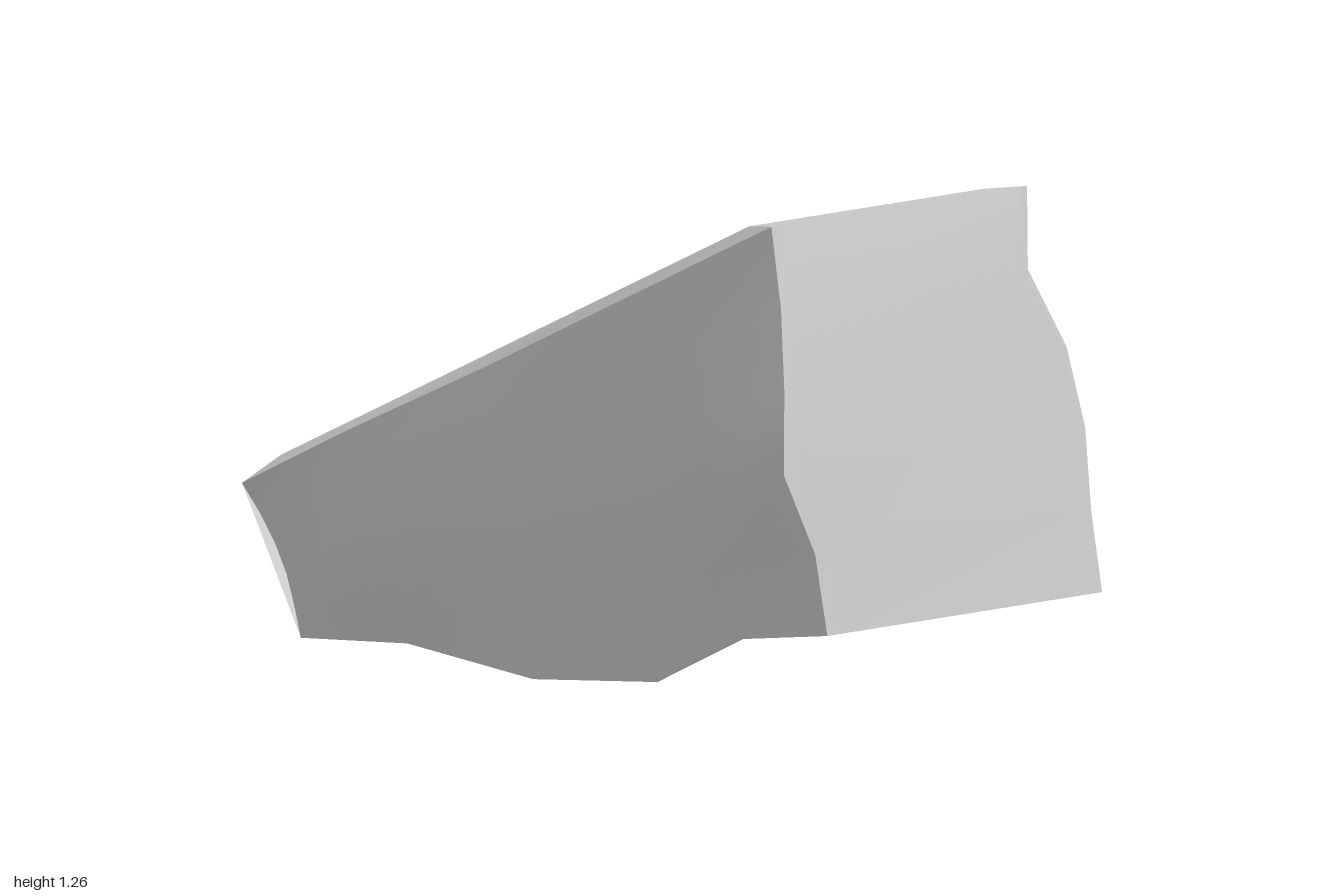
import * as THREE from 'three';

const material = new THREE.MeshStandardMaterial({ color: 0xcccccc, side: THREE.DoubleSide });
const V = (x, y, z) => new THREE.Vector3(x, y, z);

// Skin a surface over rows of points (rows x columns turn towards the outside)
function skin(name, rows) {
  const n = rows[0].length;
  const index = [];
  for (let i = 0; i < rows.length - 1; i++) {
    for (let j = 0; j < n - 1; j++) {
      const a = i * n + j, b = a + n;
      index.push(a, b, b + 1, a, b + 1, a + 1);
    }
  }
  const geometry = new THREE.BufferGeometry().setFromPoints(rows.flat());
  geometry.setIndex(index);
  geometry.computeVertexNormals();
  const mesh = new THREE.Mesh(geometry, material);
  mesh.name = name;
  return mesh;
}

// Upright column of points at place u along the length (0 front, 1 back); sag lowers
// its foot, widths are the half widths from bottom to top.
function column(sign, { u, sag, widths }) {
  const bottom = V(0, 0.21 - sag, 1).lerp(V(0, 0.04 - sag, -0.8), u);
  const top = V(0, 1.27, 0.81).lerp(V(0, 0.43, -1), u);
  return widths.map((x, j) => bottom.clone().lerp(top, j / (widths.length - 1)).setX(sign * x));
}

const leftStations = [
  { u: 0, sag: 0, widths: [0.52, 0.52, 0.54, 0.51, 0.40, 0.44] },
  { u: 0.2, sag: 0, widths: [0.55, 0.56, 0.565, 0.56, 0.53, 0.465] },
  { u: 0.4, sag: 0, widths: [0.585, 0.625, 0.60, 0.58, 0.56, 0.48] },
  { u: 0.6, sag: 0, widths: [0.60, 0.668, 0.65, 0.59, 0.57, 0.49] },
  { u: 0.8, sag: 0, widths: [0.545, 0.54, 0.535, 0.535, 0.54, 0.57] },
  { u: 1, sag: 0, widths: [0.545, 0.515, 0.475, 0.465, 0.455, 0.52] },
];
const rightStations = [
  { u: 0, sag: 0, widths: [0.565, 0.57, 0.65, 0.605, 0.575, 0.57] },
  { u: 0.15, sag: 0.005, widths: [0.59, 0.60, 0.65, 0.64, 0.60, 0.57] },
  { u: 0.31, sag: 0.117, widths: [0.60, 0.61, 0.625, 0.615, 0.59, 0.57] },
  { u: 0.555, sag: 0.11, widths: [0.59, 0.595, 0.60, 0.595, 0.58, 0.565] },
  { u: 0.795, sag: 0.015, widths: [0.595, 0.63, 0.67, 0.66, 0.64, 0.615] },
  { u: 1, sag: 0, widths: [0.595, 0.575, 0.56, 0.56, 0.575, 0.60] },
];

export function createModel() {
  const model = new THREE.Group();
  model.name = 'wedgeShell';

  // Uneven side walls
  const left = leftStations.map((station) => column(1, station));
  const right = rightStations.map((station) => column(-1, station));
  model.add(skin('leftWall', left));
  model.add(skin('rightWall', [...right].reverse()));

  // Front panel, swelling slightly forward towards a bevel under its top edge
  const swell = (t) => right[0].map((p, j) => {
    const q = p.clone().lerp(left[0][j], t);
    q.z += j < 5 ? 0.019 * j / 5 : 0;
    return q;
  });
  model.add(skin('frontPanel', [right[0], swell(0.04), swell(0.96), left[0]]));

  // Back panel, standing a little wider than the walls that curl in behind it;
  // the underside stays open
  model.add(skin('backPanel', [
    column(1, { u: 1, sag: 0, widths: [0.545, 0.53, 0.52, 0.505, 0.475, 0.52] }),
    column(-1, { u: 1, sag: 0, widths: [0.595, 0.596, 0.597, 0.598, 0.599, 0.60] }),
  ]));

  // Sloping flat roof
  const [fr, fl, bl, br] = [
    V(-0.52, 1.255, 0.69), V(0.41, 1.255, 0.69), V(0.435, 0.505, -0.92), V(-0.535, 0.505, -0.92),
  ];
  model.add(skin('roof', [[fr, br], [fl, bl]]));

  // Bevels from the roof down to the rim; the side ones follow the walls' top edges
  const sideBevel = (wall, stations, front, back) =>
    wall.map((points, i) => [points.at(-1), front.clone().lerp(back, stations[i].u)]);
  const leftBevel = sideBevel(left, leftStations, fl, bl);
  const rightBevel = sideBevel(right, rightStations, fr, br);
  model.add(skin('leftRoofBevel', leftBevel));
  model.add(skin('rightRoofBevel', [...rightBevel].reverse()));
  model.add(skin('frontRoofBevel', [rightBevel[0], leftBevel[0]]));
  model.add(skin('backRoofBevel', [leftBevel.at(-1), rightBevel.at(-1)]));
  return model;
}
